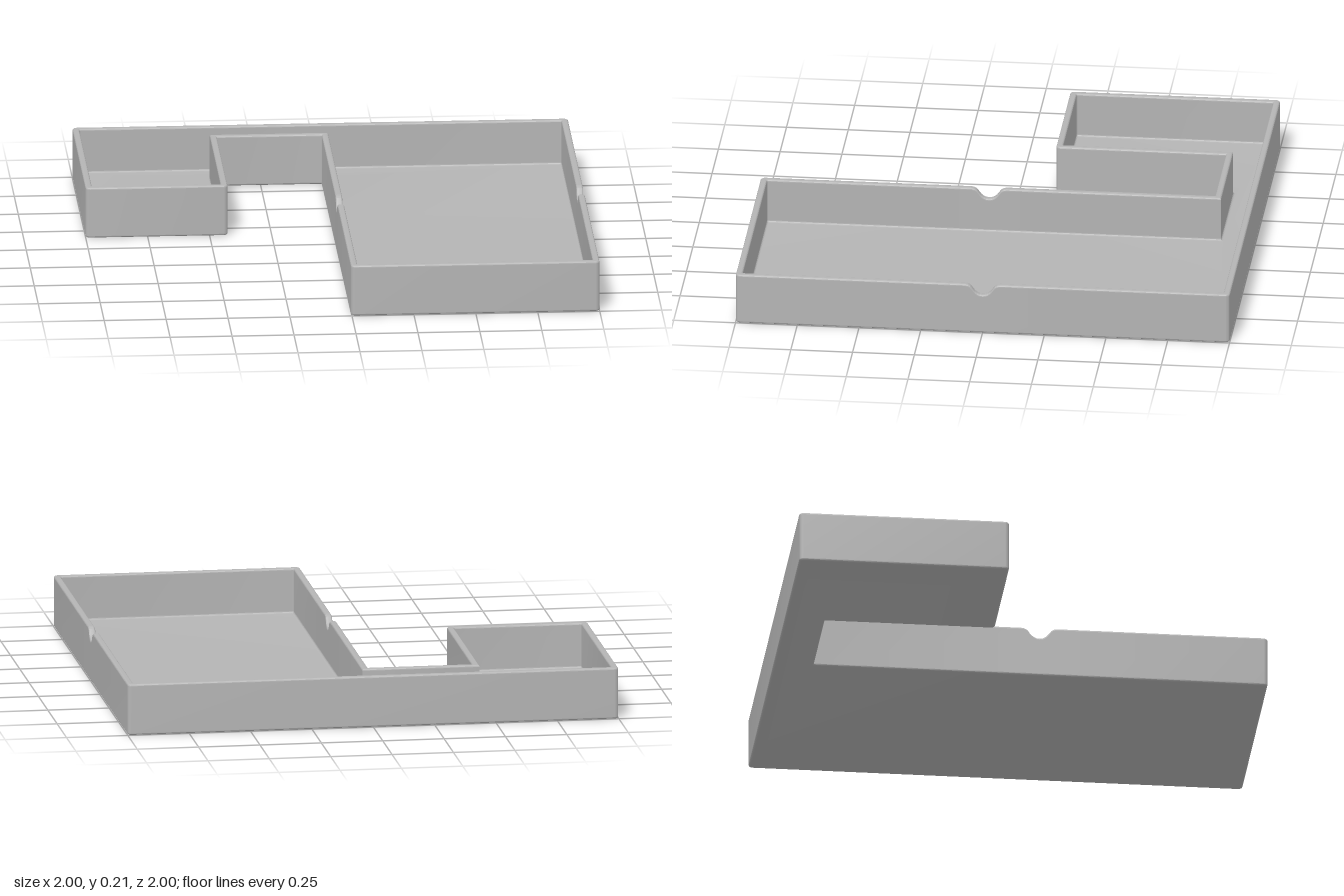
import * as THREE from 'three';
import { toCreasedNormals } from 'three/addons/utils/BufferGeometryUtils.js';

// plan corners as x, z, clockwise seen from above
const CORNERS = [
  [-1, -1], [1, -1], [1, 1], [-0.003, 1],
  [-0.003, -0.838], [-0.427, -0.838], [-0.427, -0.15], [-1, -0.15],
];
// notch centre z on the edge that starts at the given corner
const NOTCHES = { 1: 0, 3: 0.075 };
// half of the notch outline: distance from its centre, depth
const NOTCH = [
  [0, 0.045], [0.012, 0.0435], [0.022, 0.039], [0.031, 0.032], [0.038, 0.024],
  [0.044, 0.015], [0.05, 0.008], [0.058, 0.003], [0.07, 0],
];
const HEIGHT = 0.21, WALL = 0.027, FLOOR = 0.025, R = 0.018, STEPS = 6;

// wall section from the underside, over the rim, to the floor: inset, y, cut by notches
function wallSection() {
  const rows = [];
  const arc = (cx, cy, r, from, to, rim) => {
    for (let i = 0; i <= 4; i++) {
      const a = from + (to - from) * i / 4;
      rows.push([cx + r * Math.cos(a), cy + r * Math.sin(a), rim]);
    }
  };
  const P = Math.PI, f = 0.008;
  arc(f, f, f, P * 1.5, P, false);
  arc(f, HEIGHT - f, f, P, P / 2, true);
  arc(WALL - f, HEIGHT - f, f, P / 2, 0, true);
  arc(WALL + f, FLOOR + f, f, P, P * 1.5, false);
  return rows;
}

// one closed loop of points following the plan at a given inset and height
function loop([inset, y, rim]) {
  const pts = [], n = CORNERS.length;
  CORNERS.forEach((c, i) => {
    const prev = CORNERS[(i + n - 1) % n], next = CORNERS[(i + 1) % n];
    const a = [Math.sign(c[0] - prev[0]), Math.sign(c[1] - prev[1])];
    const b = [Math.sign(next[0] - c[0]), Math.sign(next[1] - c[1])];
    const convex = a[0] * b[1] - a[1] * b[0] > 0;
    const r = convex ? Math.max(R - inset, 0.006) : 0.002;
    const x = c[0] - inset * (a[1] + b[1]), z = c[1] + inset * (a[0] + b[0]);
    // rounded corner
    for (let k = 0; k <= STEPS; k++) {
      const t = k / STEPS * Math.PI / 2;
      const s = r * (1 - Math.sin(t)), e = r * (1 - Math.cos(t));
      pts.push([x - a[0] * s + b[0] * e, y, z - a[1] * s + b[1] * e]);
    }
    // notch points along the edge after this corner
    if (i in NOTCHES) {
      const half = NOTCH.slice(1);
      const whole = [...half.map(([t, d]) => [-t, d]).reverse(), ...NOTCH];
      for (const [t, d] of whole) {
        pts.push([x, rim ? y - d : y, NOTCHES[i] + b[1] * t]);
      }
    }
  });
  return pts;
}

function trayGeometry() {
  const rings = wallSection().map(loop), n = rings[0].length;
  const index = [];
  for (let i = 0; i < rings.length - 1; i++) {
    for (let j = 0; j < n; j++) {
      const a = i * n + j, b = i * n + (j + 1) % n;
      index.push(a, a + n, b, b, a + n, b + n);
    }
  }
  // underside and floor
  const cap = (row, up) => {
    const p = rings[row].map(([x, , z]) => new THREE.Vector2(x, z));
    for (const [a, b, c] of THREE.ShapeUtils.triangulateShape(p, [])) {
      const u = p[b].clone().sub(p[a]), v = p[c].clone().sub(p[a]);
      const facesUp = u.y * v.x - u.x * v.y > 0;
      const o = row * n;
      index.push(o + a, ...(facesUp === up ? [o + b, o + c] : [o + c, o + b]));
    }
  };
  cap(0, false);
  cap(rings.length - 1, true);

  const geometry = new THREE.BufferGeometry();
  geometry.setAttribute('position', new THREE.Float32BufferAttribute(rings.flat(2), 3));
  geometry.setIndex(index);
  // a low crease angle keeps the large walls and floor evenly flat
  return toCreasedNormals(geometry, 0.15);
}

export function createModel() {
  const grey = new THREE.MeshStandardMaterial({ color: 0xb4b4b4 });
  grey.name = 'plain grey';
  const tray = new THREE.Mesh(trayGeometry(), grey);
  tray.name = 'tray';
  const model = new THREE.Group();
  model.name = 'hookShapedTray';
  model.add(tray);
  return model;
}
